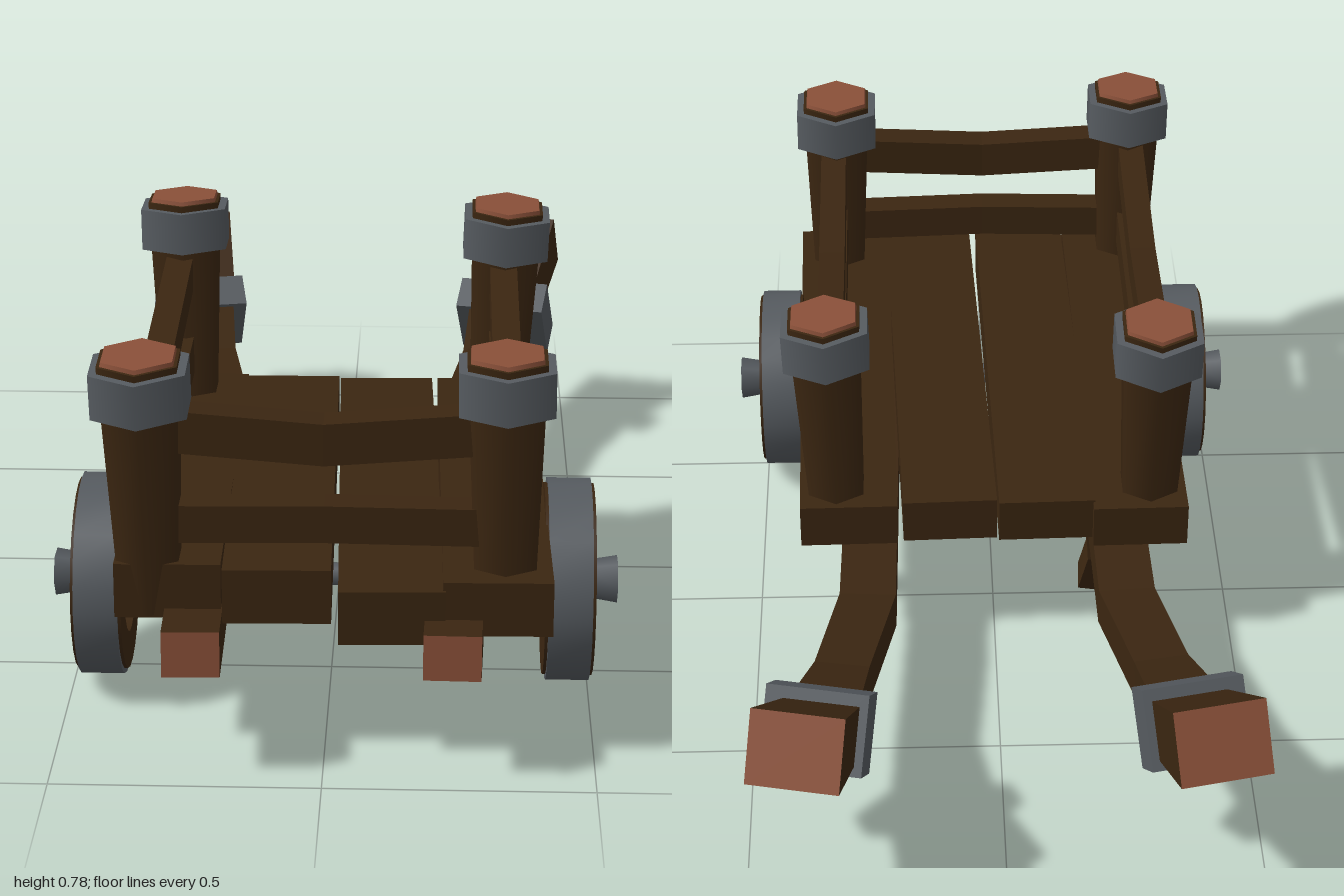
import * as THREE from 'three';
import { toCreasedNormals } from 'three/addons/utils/BufferGeometryUtils.js';

const wood = new THREE.MeshStandardMaterial({ color: 0x3b2611 });
wood.name = 'dark wood';
const steel = new THREE.MeshStandardMaterial({ color: 0x565b60 });
steel.name = 'grey steel';
const cut = new THREE.MeshStandardMaterial({ color: 0x8a5039 });
cut.name = 'cut wood';

const V = (a) => new THREE.Vector3(a[0], a[1], a[2]);

function add(parent, name, geometry, material) {
  const mesh = new THREE.Mesh(geometry, material);
  mesh.name = name;
  parent.add(mesh);
  return mesh;
}

// Four-sided beam through stations [x, y, z, width, height]; material groups: start, sides, end
function beam(parent, name, pts, mats = [wood, wood, wood], ref = [0, 1, 0]) {
  const n = pts.length;
  const rings = pts.map((p, i) => {
    const t = V(pts[Math.min(i + 1, n - 1)]).sub(V(pts[Math.max(i - 1, 0)])).normalize();
    const right = t.clone().cross(V(ref)).normalize();
    const up = right.clone().cross(t);
    return [[-1, -1], [1, -1], [1, 1], [-1, 1]].map(([a, b]) =>
      V(p).addScaledVector(right, a * p[3] / 2).addScaledVector(up, b * p[4] / 2));
  });
  const out = [];
  const quad = (a, b, c, d) => [a, b, c, a, c, d].forEach((v) => out.push(v.x, v.y, v.z));
  quad(...rings[0]);
  for (let i = 0; i < n - 1; i++) {
    for (let j = 0; j < 4; j++) {
      const k = (j + 1) % 4;
      quad(rings[i][j], rings[i + 1][j], rings[i + 1][k], rings[i][k]);
    }
  }
  quad(...rings[n - 1].slice().reverse());
  const g = new THREE.BufferGeometry();
  g.setAttribute('position', new THREE.Float32BufferAttribute(out, 3));
  g.computeVertexNormals();
  const sides = (n - 1) * 24;
  g.addGroup(0, 6, 0);
  g.addGroup(6, sides, 1);
  g.addGroup(6 + sides, 6, 2);
  return add(parent, name, g, mats);
}

// Twelve-sided ring, centred, with its axis along x
function ring(outer, inner, width) {
  const s = new THREE.Shape().absarc(0, 0, outer, 0, Math.PI * 2);
  s.holes.push(new THREE.Path().absarc(0, 0, inner, 0, Math.PI * 2, true));
  const g = new THREE.ExtrudeGeometry(s, { depth: width, bevelEnabled: false, curveSegments: 12 });
  g.translate(0, 0, -width / 2).rotateZ(Math.PI / 12).rotateY(Math.PI / 2);
  return toCreasedNormals(g, 0.6);
}

// Hexagonal post leaning from its foot to its top, with band and cut end
function post(parent, foot, top) {
  const g = new THREE.Group();
  g.name = 'post';
  const axis = V(top).sub(V(foot));
  const len = axis.length();
  g.position.copy(V(foot));
  g.quaternion.setFromUnitVectors(new THREE.Vector3(0, 1, 0), axis.normalize());
  add(g, 'postShaft', new THREE.CylinderGeometry(0.083, 0.062, len, 6), wood).position.y = len / 2;
  add(g, 'postBand', new THREE.CylinderGeometry(0.1, 0.1, 0.085, 6), steel).position.y = len - 0.055;
  add(g, 'postCutEnd', new THREE.CylinderGeometry(0.074, 0.076, 0.008, 6), cut).position.y = len + 0.004;
  parent.add(g);
}

function wheel(parent, x, side) {
  const g = new THREE.Group();
  g.name = 'wheel';
  g.position.set(x, 0.198, 0.535);
  add(g, 'tyre', ring(0.196, 0.18, 0.083), steel);
  add(g, 'felloe', ring(0.186, 0.115, 0.095), wood);
  for (let i = 0; i < 4; i++) {
    add(g, 'spokePair', new THREE.BoxGeometry(0.045, 0.25, 0.032), wood).rotation.x = i * Math.PI / 4;
  }
  add(g, 'hub', new THREE.CylinderGeometry(0.065, 0.065, 0.075, 12).rotateZ(Math.PI / 2), wood);
  // Flared hub cap, wide end outward
  const cap = new THREE.CylinderGeometry(0.046, 0.036, 0.06, 6).rotateZ(-side * Math.PI / 2);
  add(g, 'hubCap', cap, steel).position.x = side * 0.066;
  parent.add(g);
}

export function createModel() {
  const cart = new THREE.Group();
  cart.name = 'handcart';

  // Floor planks, each a little askew: [back x, front x, back z, front z, back y, front y, width]
  [
    [-0.3, -0.285, -0.18, 0.875, 0.295, 0.315, 0.195],
    [-0.107, -0.085, -0.16, 0.89, 0.3, 0.313, 0.198],
    [0.093, 0.125, -0.155, 0.92, 0.3, 0.287, 0.194],
    [0.302, 0.317, -0.165, 0.91, 0.298, 0.303, 0.2],
  ].forEach(([xb, xf, zb, zf, yb, yf, w]) =>
    beam(cart, 'floorPlank', [[xb, yb, zb, w, 0.095], [xf, yf, zf, w, 0.105]]));

  for (const s of [-1, 1]) {
    // Long shaft running from the front end to the handle
    beam(cart, 'shaft', [
      [s * 0.235, 0.243, 0.99, 0.105, 0.087],
      [s * 0.25, 0.215, 0.4, 0.11, 0.08],
      [s * 0.265, 0.185, -0.3, 0.115, 0.08],
      [s * 0.315, 0.22, -0.57, 0.11, 0.08],
      [s * 0.345, 0.272, -0.75, 0.135, 0.1],
    ], [cut, wood, wood]);
    // Flared handle block with band
    beam(cart, 'handle', [
      [s * 0.344, 0.265, -0.755, 0.14, 0.105],
      [s * 0.392, 0.4, -0.98, 0.178, 0.142],
    ], [wood, wood, cut]);
    beam(cart, 'handleBand', [
      [s * 0.35, 0.252, -0.74, 0.2, 0.157],
      [s * 0.364, 0.298, -0.805, 0.2, 0.157],
    ], [steel, steel, steel]);
    // Bent prop leg
    const dx = s > 0 ? 0.012 : 0;
    beam(cart, 'propLeg', [
      [s * 0.235 + dx, 0.22, 0.015, 0.078, 0.075],
      [s * 0.24 + dx, 0.1, -0.002, 0.075, 0.068],
      [s * 0.224 + 2 * dx, 0, 0.032, 0.075, 0.068],
    ], undefined, [0, 0, 1]);
    // Side rails
    const x = s * 0.335;
    beam(cart, 'sideTopRail', [
      [x, 0.615, 0.82, 0.055, 0.068], [x, 0.583, 0.39, 0.055, 0.068], [x, 0.615, -0.09, 0.055, 0.068],
    ]);
    const y = s > 0 ? 0.463 : 0.437;
    beam(cart, 'sideLowerRail', [
      [x, y + 0.003, 0.82, 0.055, 0.078], [x, y, 0.39, 0.055, 0.076], [x, y, -0.09, 0.055, 0.078],
    ]);
    wheel(cart, s > 0 ? 0.457 : -0.437, s);
  }

  // Front rails
  beam(cart, 'frontTopRail', [
    [-0.32, 0.622, 0.825, 0.06, 0.08], [0, 0.6, 0.835, 0.06, 0.08], [0.32, 0.622, 0.825, 0.06, 0.08],
  ]);
  beam(cart, 'frontLowerRail', [
    [-0.32, 0.438, 0.825, 0.06, 0.072], [0, 0.444, 0.83, 0.06, 0.072], [0.32, 0.438, 0.825, 0.06, 0.072],
  ]);

  // Corner posts
  post(cart, [-0.32, 0.27, 0.82], [-0.33, 0.755, 0.845]);
  post(cart, [0.33, 0.27, 0.815], [0.327, 0.755, 0.817]);
  post(cart, [-0.32, 0.27, -0.09], [-0.328, 0.755, -0.12]);
  post(cart, [0.325, 0.27, -0.09], [0.342, 0.755, -0.077]);

  // Axle
  const axle = add(cart, 'axle', new THREE.CylinderGeometry(0.023, 0.023, 0.96, 8).rotateZ(Math.PI / 2), steel);
  axle.position.set(0.01, 0.2, 0.535);

  return cart;
}
